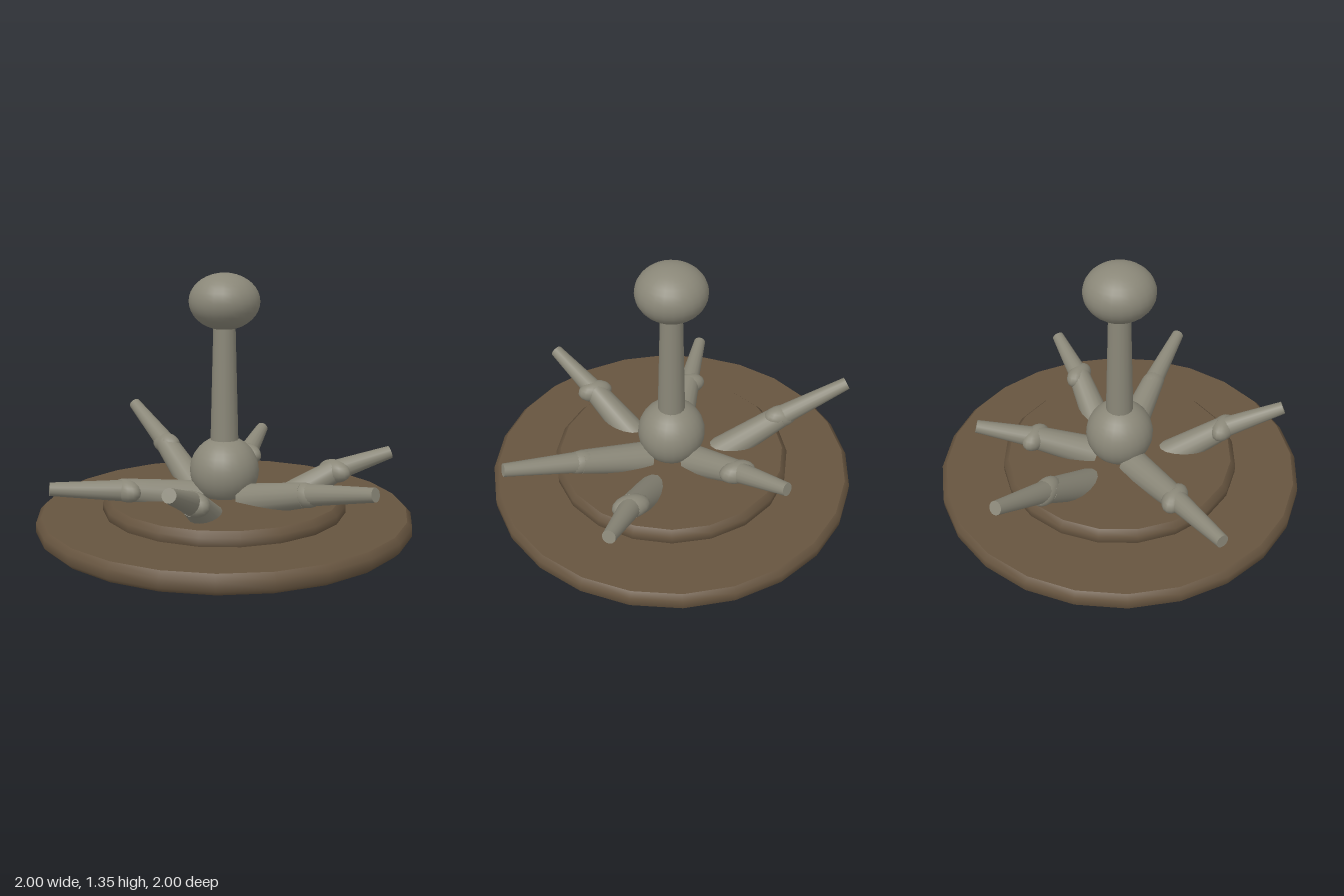
import * as THREE from 'three';

const stone = new THREE.MeshStandardMaterial({ color: 0x8a8778 });
stone.name = 'grey stone';
const wood = new THREE.MeshStandardMaterial({ color: 0x66543f });
wood.name = 'brown base';

function add(parent, name, geometry, material) {
  const mesh = new THREE.Mesh(geometry, material);
  mesh.name = name;
  parent.add(mesh);
  return mesh;
}

// Disc with a chamfered rim; repeated profile points keep the edges crisp
function disc(radius, y0, y1, bevel, sides) {
  const profile = [
    [0, y0], [radius - bevel, y0], [radius - bevel, y0],
    [radius, y0 + bevel], [radius, y1 - bevel],
    [radius - bevel, y1], [radius - bevel, y1], [0, y1],
  ].map(([x, y]) => new THREE.Vector2(x, y));
  const geometry = new THREE.LatheGeometry(profile, sides);
  geometry.normalizeNormals();
  return geometry;
}

// Tapered rod between two points
function rod(parent, name, from, to, r0, r1) {
  const dir = to.clone().sub(from);
  const mesh = add(parent, name, new THREE.CylinderGeometry(r1, r0, dir.length(), 16), stone);
  mesh.position.copy(from).addScaledVector(dir, 0.5);
  mesh.quaternion.setFromUnitVectors(new THREE.Vector3(0, 1, 0), dir.normalize());
}

function ellipsoid(parent, name, position, rx, ry, rz, segments) {
  const mesh = add(parent, name, new THREE.SphereGeometry(1, segments, segments * 0.75), stone);
  mesh.position.copy(position);
  mesh.scale.set(rx, ry, rz);
}

const v = (x, y, z) => new THREE.Vector3(x, y, z);

export function createModel() {
  const model = new THREE.Group();
  model.name = 'pedestalWithArms';

  // Stepped base
  add(model, 'baseDisc', disc(1, 0, 0.1, 0.026, 24), wood);
  add(model, 'upperDisc', disc(0.65, 0.07, 0.17, 0.028, 20), wood);

  // Central column
  ellipsoid(model, 'hub', v(0, 0.3, 0), 0.185, 0.185, 0.185, 24);
  rod(model, 'post', v(0, 0.4, 0), v(0, 1.12, 0), 0.076, 0.057);
  ellipsoid(model, 'knob', v(0, 1.2, 0), 0.186, 0.148, 0.186, 24);

  // Arms: inner end, joint and tip
  const arms = [
    [v(0.15, 0.16, -0.02), v(0.53, 0.265, -0.055), v(0.945, 0.352, -0.083)],
    [v(0.17, 0.09, -0.21), v(0.37, 0.28, -0.47), v(0.55, 0.375, -0.72)],
    [v(-0.08, 0.16, -0.12), v(-0.235, 0.275, -0.4), v(-0.39, 0.36, -0.68)],
    [v(-0.25, 0.09, -0.05), v(-0.61, 0.32, -0.1), v(-0.975, 0.5, -0.148)],
    [v(0.14, 0.09, 0.22), v(0.31, 0.285, 0.49), v(0.47, 0.42, 0.77)],
    [v(-0.07, 0.16, 0.12), v(-0.26, 0.22, 0.46), v(-0.455, 0.255, 0.805)],
  ];
  for (const [inner, joint, tip] of arms) {
    const arm = new THREE.Group();
    arm.name = 'arm';
    rod(arm, 'innerSegment', inner, joint, 0.088, 0.064);
    ellipsoid(arm, 'joint', joint, 0.1, 0.062, 0.062, 16);
    rod(arm, 'outerSegment', joint, tip, 0.058, 0.035);
    model.add(arm);
  }
  return model;
}
